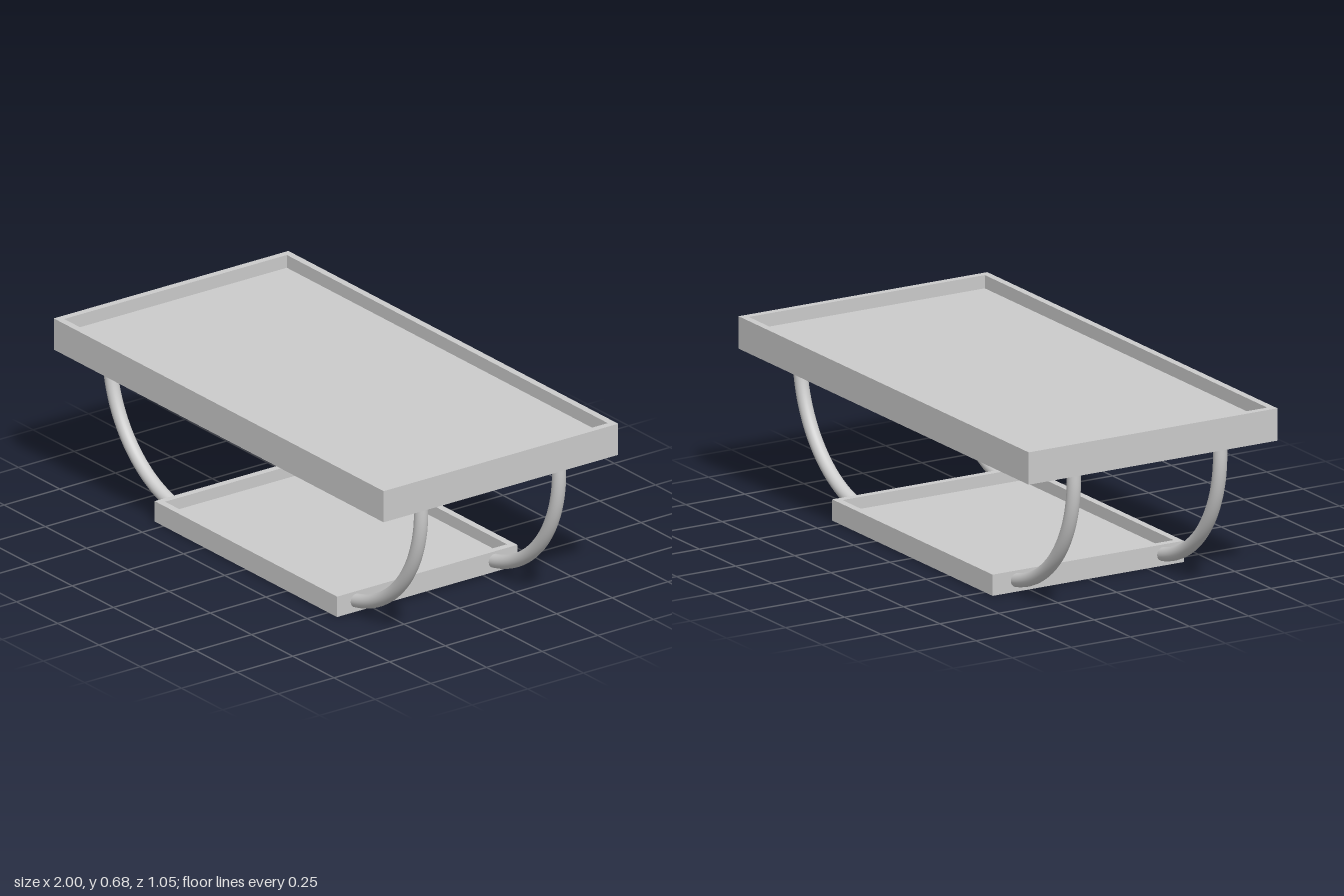
import * as THREE from 'three';

const material = new THREE.MeshStandardMaterial({ color: 0xcccccc });

// Open tray: rectangular rings from the underside, up the wall, over the rim and down to the floor
function makeTray(name, halfX, halfZ, height, wall, depth, y) {
  const rings = [
    [0, 0],
    [0, height],
    [wall, height],
    [wall, height - depth],
  ];
  const corners = [[1, 1], [1, -1], [-1, -1], [-1, 1]];
  const positions = [];
  for (const [inset, ringY] of rings) {
    for (const [sx, sz] of corners) positions.push(sx * (halfX - inset), ringY, sz * (halfZ - inset));
  }
  const index = [0, 2, 1, 0, 3, 2]; // underside
  for (let r = 0; r < rings.length - 1; r++) {
    for (let i = 0; i < 4; i++) {
      const a = r * 4 + i, b = r * 4 + (i + 1) % 4;
      index.push(a, b, b + 4, a, b + 4, a + 4);
    }
  }
  const f = (rings.length - 1) * 4;
  index.push(f, f + 1, f + 2, f, f + 2, f + 3); // floor

  const indexed = new THREE.BufferGeometry();
  indexed.setAttribute('position', new THREE.Float32BufferAttribute(positions, 3));
  indexed.setIndex(index);
  const geometry = indexed.toNonIndexed();
  geometry.computeVertexNormals();
  const tray = new THREE.Mesh(geometry, material);
  tray.name = name;
  tray.position.y = y;
  return tray;
}

// Centre line of a leg: short straight top, then a circular sweep in to the lower tray
class LegCurve extends THREE.Curve {
  constructor(side) {
    super();
    this.side = side;
  }
  getPoint(t, target = new THREE.Vector3()) {
    const radius = 0.485, centreX = 0.46, centreY = 0.52, topY = 0.56;
    const sweep = Math.PI / 2 - 0.166;
    const straight = topY - centreY;
    const s = t * (straight + radius * sweep);
    if (s < straight) return target.set(this.side * (centreX + radius), topY - s, 0);
    const a = (s - straight) / radius;
    return target.set(this.side * (centreX + radius * Math.cos(a)), centreY - radius * Math.sin(a), 0);
  }
}

export function createModel() {
  const model = new THREE.Group();
  model.name = 'trayTable';

  model.add(makeTray('tableTop', 1, 0.527, 0.122, 0.027, 0.05, 0.553));
  model.add(makeTray('lowerShelf', 0.553, 0.405, 0.08, 0.027, 0.045, 0));

  // Four curved tube legs
  for (const side of [1, -1]) {
    const geometry = new THREE.TubeGeometry(new LegCurve(side), 40, 0.026, 24, false);
    for (const [end, z] of [['front', 0.318], ['back', -0.302]]) {
      const leg = new THREE.Mesh(geometry, material);
      leg.name = end + (side > 0 ? 'Left' : 'Right') + 'Leg';
      leg.position.z = z;
      model.add(leg);
    }
  }
  return model;
}
